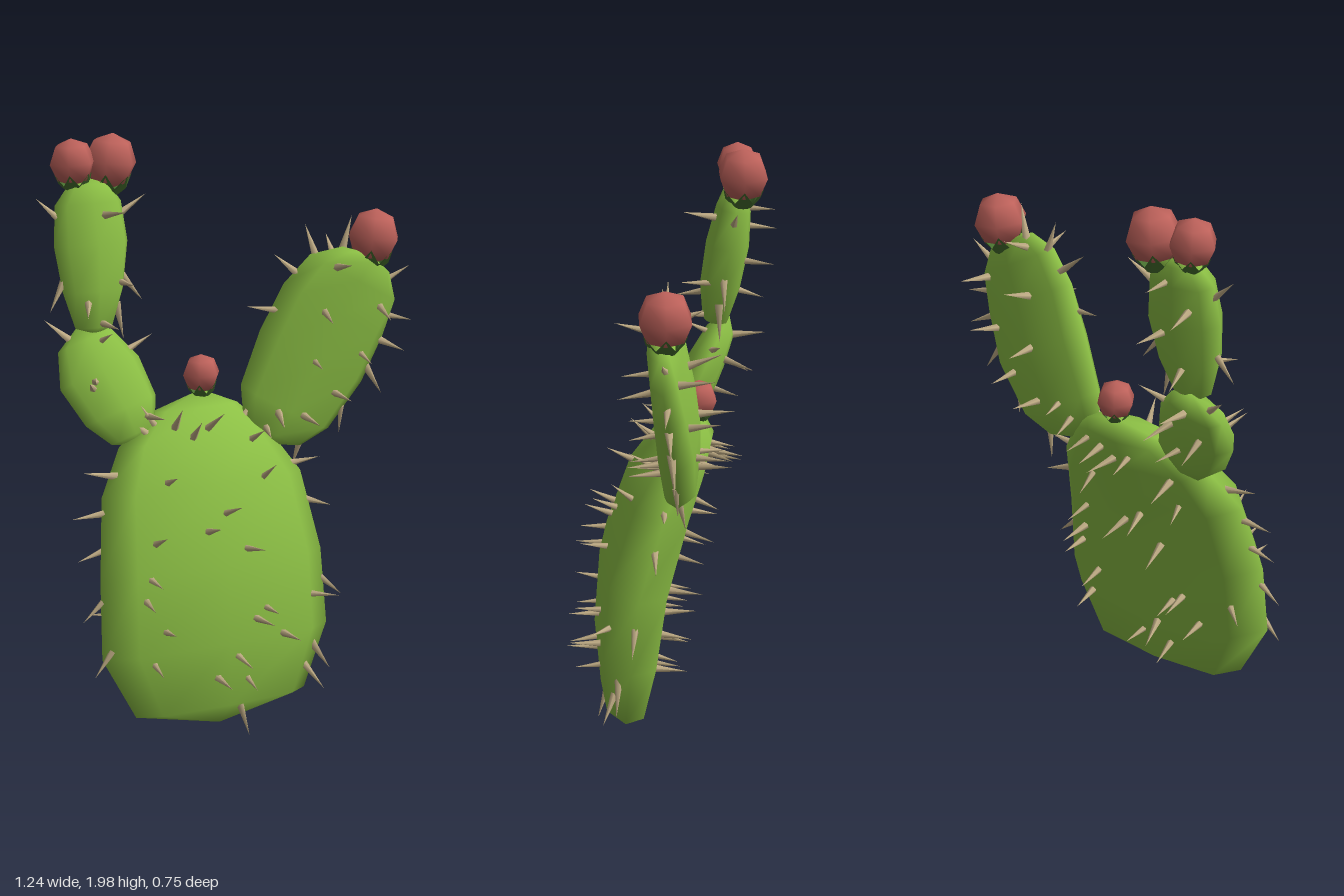
import * as THREE from 'three';

const mat = (color, extra = {}) => new THREE.MeshStandardMaterial({ color, ...extra });
const padMat = mat(0x8dc145);
const fruitMat = mat(0xbe625b);
const sepalMat = mat(0x47702f, { side: THREE.DoubleSide, flatShading: true });
const spineMat = mat(0xc4b088);
const UP = new THREE.Vector3(0, 1, 0);
const SIDES = 8;

// Seeded jitter in -1..1
let seed = 7;
function jitter() {
  seed = (seed * 16807) % 2147483647;
  return (seed / 2147483647) * 2 - 1;
}

// Squarish oval rings [x, y, z, halfWidth, halfThickness] lofted between two end points
function padGeometry(sections, width, thick) {
  const rings = sections.slice(1, -1);
  const pos = [], idx = [];
  const squash = (v) => Math.sign(v) * Math.pow(Math.abs(v), 0.77);
  for (const [x, y, z, w, t] of rings) {
    for (let j = 0; j < SIDES; j++) {
      const a = (j / SIDES) * Math.PI * 2;
      const p = new THREE.Vector3(x, y, z)
        .addScaledVector(width, w * squash(Math.cos(a)))
        .addScaledVector(thick, t * squash(Math.sin(a)));
      pos.push(p.x, p.y, p.z);
    }
  }
  const bottom = rings.length * SIDES, top = bottom + 1;
  pos.push(...sections[0], ...sections[sections.length - 1]);
  for (let j = 0; j < SIDES; j++) {
    const n = (j + 1) % SIDES;
    for (let k = 0; k < rings.length - 1; k++) {
      const a = k * SIDES + j, b = k * SIDES + n;
      idx.push(a, a + SIDES, b, b, a + SIDES, b + SIDES);
    }
    const last = (rings.length - 1) * SIDES;
    idx.push(bottom, j, n, top, last + n, last + j);
  }
  const g = new THREE.BufferGeometry();
  g.setAttribute('position', new THREE.Float32BufferAttribute(pos, 3));
  g.setIndex(idx);
  g.computeVertexNormals();
  return g;
}

const spineGeo = new THREE.ConeGeometry(0.015, 0.125, 5).translate(0, 0.045, 0);

function addSpine(group, point, dir) {
  const m = new THREE.Mesh(spineGeo, spineMat);
  m.name = 'spine';
  const d = dir.clone().add(new THREE.Vector3(jitter(), jitter(), jitter()).multiplyScalar(0.15)).normalize();
  m.position.copy(point);
  m.quaternion.setFromUnitVectors(UP, d);
  m.scale.setScalar(0.95 + 0.15 * jitter());
  group.add(m);
}

// A pad with spines on its front, back and rim (rim angles in degrees, 90 = towards the tip)
function makePad({ name, sections, width, front, back, rim }) {
  const group = new THREE.Group();
  group.name = name;
  const w = new THREE.Vector3(...width).normalize();
  const first = new THREE.Vector3(...sections[0]);
  const axis = new THREE.Vector3(...sections[sections.length - 1]).sub(first).normalize();
  const thick = w.clone().cross(axis).normalize();
  const body = new THREE.Mesh(padGeometry(sections, w, thick), padMat);
  body.name = name + 'Body';
  group.add(body);

  const ray = new THREE.Raycaster();
  const cast = (origin, dir) => {
    ray.set(origin, dir);
    return ray.intersectObject(body)[0];
  };
  for (const [list, s] of [[front, 1], [back, -1]]) {
    for (const [x, y] of list) {
      const hit = cast(new THREE.Vector3(x, y, 2 * s), new THREE.Vector3(0, 0, -s));
      if (hit) addSpine(group, hit.point, hit.face.normal);
    }
  }
  const centre = new THREE.Vector3(...sections[Math.floor(sections.length / 2)].slice(0, 3));
  for (const deg of rim) {
    const a = THREE.MathUtils.degToRad(deg);
    const out = w.clone().multiplyScalar(Math.cos(a)).addScaledVector(axis, Math.sin(a)).normalize();
    const hit = cast(centre.clone().addScaledVector(out, 2), out.clone().negate());
    if (hit) addSpine(group, hit.point, out);
  }
  return group;
}

// Round fruit sitting in a zigzag cup of sepals
function makeFruit([x, y, z], r, tilt) {
  const group = new THREE.Group();
  group.name = 'fruit';
  const ball = new THREE.Mesh(new THREE.SphereGeometry(r, 6, 4), fruitMat);
  ball.name = 'fruitBall';
  const cup = new THREE.CylinderGeometry(r * 0.86, r * 0.35, r * 0.8, 12, 1, true);
  const p = cup.attributes.position;
  for (let i = 0; i < 13; i += 2) p.setXYZ(i, p.getX(i) * 0.75, -r * 0.1, p.getZ(i) * 0.75);
  const sepals = new THREE.Mesh(cup, sepalMat);
  sepals.name = 'sepals';
  sepals.position.y = -r * 0.8;
  group.add(ball, sepals);
  group.position.set(x, y, z);
  group.rotation.z = tilt;
  return group;
}

export function createModel() {
  const model = new THREE.Group();
  model.name = 'cactus';

  const mainFront = [
    [-0.27, 1.07], [-0.21, 1.06], [-0.16, 1.03], [-0.1, 1.05], [-0.28, 0.91], [-0.35, 0.73], [-0.17, 0.75],
    [-0.1, 0.8], [-0.38, 0.62], [-0.4, 0.55], [-0.34, 0.44], [-0.38, 0.33], [-0.04, 0.68], [0.06, 0.89],
    [0.05, 1.0], [0.02, 0.47], [-0.02, 0.44], [0.08, 0.37], [0.2, 0.48], [-0.09, 0.32], [-0.16, 0.25], [-0.05, 0.23],
  ];
  model.add(makePad({
    name: 'mainPad',
    width: [1, 0, 0],
    sections: [
      [-0.12, 0.05, 0.16],
      [-0.11, 0.12, 0.155, 0.31, 0.085],
      [-0.12, 0.34, 0.14, 0.41, 0.12],
      [-0.12, 0.6, 0.11, 0.4, 0.13],
      [-0.12, 0.86, 0.03, 0.36, 0.12],
      [-0.12, 1.0, -0.04, 0.27, 0.1],
      [-0.1, 1.09, -0.09, 0.16, 0.07],
      [-0.06, 1.14, -0.12],
    ],
    front: mainFront,
    back: mainFront.map(([x, y]) => [-0.24 - x, y - 0.03]),
    rim: [52, 40, 5, -15, -42, -58, -63, -83, 235, 222, 205, 188, 168, 135],
  }));

  const leftFront = [
    [0.35, 1.56], [0.31, 1.41], [0.51, 1.41], [0.28, 1.24], [0.45, 1.25], [0.16, 1.07], [0.25, 1.05],
    [0.36, 1.12], [0.12, 1.02],
  ];
  model.add(makePad({
    name: 'leftPad',
    width: [0.86, -0.5, 0.05],
    sections: [
      [0.14, 0.95, -0.02],
      [0.16, 0.99, -0.025, 0.12, 0.045],
      [0.21, 1.07, -0.03, 0.185, 0.065],
      [0.3, 1.24, -0.015, 0.215, 0.075],
      [0.37, 1.4, 0.01, 0.21, 0.065],
      [0.43, 1.51, 0.03, 0.18, 0.055],
      [0.47, 1.57, 0.045, 0.1, 0.04],
      [0.48, 1.59, 0.05],
    ],
    front: leftFront,
    back: leftFront.map(([x, y]) => [x + 0.02, y + 0.03]),
    rim: [20, -5, -30, -55, -75, 205, 165, 140, 112, 55],
  }));

  model.add(makePad({
    name: 'lowerRightPad',
    width: [0.95, 0.3, 0],
    sections: [
      [-0.33, 1.0, -0.05],
      [-0.33, 1.03, -0.06, 0.08, 0.05],
      [-0.36, 1.11, -0.09, 0.13, 0.07],
      [-0.41, 1.23, -0.15, 0.145, 0.065],
      [-0.44, 1.33, -0.2, 0.1, 0.05],
      [-0.44, 1.39, -0.23],
    ],
    front: [[-0.46, 1.2], [-0.45, 1.22], [-0.4, 1.34], [-0.29, 1.1]],
    back: [[-0.46, 1.22], [-0.35, 1.25], [-0.36, 1.14], [-0.42, 1.32]],
    rim: [15, 70, 110],
  }));

  model.add(makePad({
    name: 'upperRightPad',
    width: [1, 0, 0],
    sections: [
      [-0.41, 1.355, -0.18],
      [-0.415, 1.38, -0.18, 0.065, 0.045],
      [-0.41, 1.5, -0.195, 0.105, 0.07],
      [-0.405, 1.65, -0.22, 0.128, 0.075],
      [-0.405, 1.78, -0.24, 0.115, 0.06],
      [-0.4, 1.84, -0.25, 0.07, 0.045],
      [-0.4, 1.86, -0.255],
    ],
    front: [[-0.33, 1.53], [-0.45, 1.47], [-0.4, 1.4], [-0.37, 1.75]],
    back: [[-0.36, 1.6], [-0.46, 1.7], [-0.42, 1.48], [-0.38, 1.78]],
    rim: [-48, -70, 230, 140, 40],
  }));

  // Fruits at the pad tips
  model.add(makeFruit([-0.45, 1.915, -0.255], 0.078, 0.05));
  model.add(makeFruit([-0.315, 1.908, -0.265], 0.092, -0.12));
  model.add(makeFruit([0.505, 1.643, 0.03], 0.093, -0.12));
  model.add(makeFruit([-0.065, 1.2, -0.105], 0.066, 0));
  return model;
}
